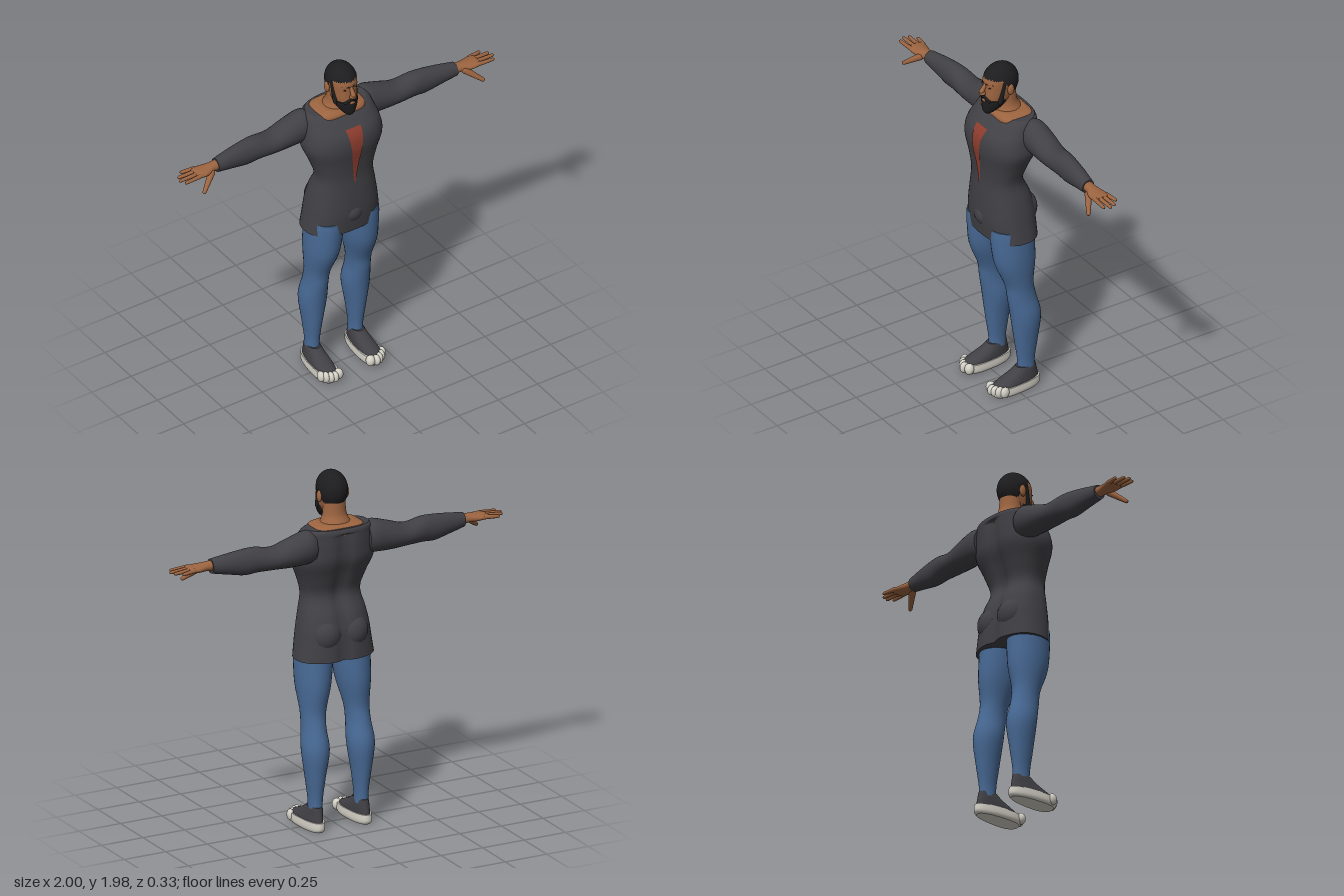
import * as THREE from 'three';

const mat = (name, color) => Object.assign(new THREE.MeshStandardMaterial({ color }), { name });

// Smoothly subdivide rows of numbers (Catmull-Rom per column)
function refine(rows, n) {
  const out = [], last = rows.length - 1;
  for (let i = 0; i < last; i++) for (let k = 0; k < n; k++) {
    const t = k / n, at = (j) => rows[Math.min(last, Math.max(0, j))];
    out.push(rows[i].map((_, c) => {
      const a = at(i - 1)[c], b = at(i)[c], d = at(i + 1)[c], e = at(i + 2)[c];
      return 0.5 * (2 * b + (d - a) * t + (2 * a - 5 * b + 4 * d - e) * t * t + (3 * b - a - 3 * d + e) * t ** 3);
    }));
  }
  out.push(rows[last]);
  return out;
}

// Closed skin through rounded sections [height, cx, cz, rx, rz], with flat caps
function loft(sections, { power = 2, n = 4, seg = 32, rule } = {}) {
  const rows = refine(sections, n), pos = [], idx = [];
  const ring = ([y, cx, cz, rx, rz]) => {
    for (let j = 0; j < seg; j++) {
      const a = (j / seg) * Math.PI * 2, c = Math.cos(a), s = Math.sin(a);
      const p = [cx + rx * Math.sign(c) * Math.abs(c) ** (2 / power), y,
        cz + rz * Math.sign(s) * Math.abs(s) ** (2 / power)];
      pos.push(...(rule ? rule(...p) : p));
    }
  };
  rows.forEach(ring);
  for (let i = 0; i < rows.length - 1; i++) for (let j = 0; j < seg; j++) {
    const k = (j + 1) % seg, a = i * seg + j, b = i * seg + k;
    idx.push(a, a + seg, b, b, a + seg, b + seg);
  }
  [rows[0], rows[rows.length - 1]].forEach((r, top) => {
    const base = pos.length / 3;
    ring(r);
    pos.push(r[1], r[0], r[2]);
    for (let j = 0; j < seg; j++) {
      const k = (j + 1) % seg;
      idx.push(base + seg, base + (top ? k : j), base + (top ? j : k));
    }
  });
  const g = new THREE.BufferGeometry();
  g.setAttribute('position', new THREE.Float32BufferAttribute(pos, 3));
  g.setIndex(idx);
  g.computeVertexNormals();
  return g;
}

// Turn a loft so that it runs along x: sections are then [x, cz, cy, rz, ry]
const alongX = (g) => g.applyMatrix4(new THREE.Matrix4().set(0, 1, 0, 0, 0, 0, 1, 0, 1, 0, 0, 0, 0, 0, 0, 1));

const ball = (x, y, z, rx, ry, rz) => new THREE.SphereGeometry(1, 20, 14).scale(rx, ry, rz).translate(x, y, z);

// Tapered rod with rounded ends between two points
function rod(from, to, r1, r2) {
  const a = new THREE.Vector3(...from), d = new THREE.Vector3(...to).sub(a), len = d.length();
  const pts = [[0, -r1], [r1 * 0.7, -r1 * 0.7], [r1, 0], [r2, len - r2], [r2 * 0.7, len - r2 * 0.3], [0, len]];
  const g = new THREE.LatheGeometry(pts.map((p) => new THREE.Vector2(...p)), 12);
  g.applyQuaternion(new THREE.Quaternion().setFromUnitVectors(new THREE.Vector3(0, 1, 0), d.normalize()));
  return g.translate(...from);
}

function mirrored(g) {
  const m = g.clone().scale(-1, 1, 1), ix = m.index.array;
  for (let i = 0; i < ix.length; i += 3) [ix[i], ix[i + 1]] = [ix[i + 1], ix[i]];
  return m;
}

const TORSO = [
  [0.95, 0, -0.015, 0.225, 0.145], [1.05, 0, -0.008, 0.21, 0.148], [1.12, 0, -0.005, 0.2, 0.145],
  [1.2, 0, 0.004, 0.185, 0.132], [1.3, 0, 0.022, 0.167, 0.108], [1.4, 0, 0.013, 0.195, 0.125],
  [1.5, 0, 0, 0.232, 0.152], [1.58, 0, -0.01, 0.224, 0.15], [1.64, 0, -0.033, 0.208, 0.127],
  [1.675, 0, -0.05, 0.198, 0.108], [1.69, 0, -0.055, 0.18, 0.095],
];

export function createModel() {
  const model = new THREE.Group();
  const shirt = mat('charcoal cloth', 0x414045), skin = mat('skin', 0x9c6440), denim = mat('blue denim', 0x486a96);
  const hair = mat('black hair', 0x1d1d1f), white = mat('white rubber', 0xd2cfc5), red = mat('red cloth', 0x8e3d2e);
  const eye = mat('dark eye', 0x3a2218);
  const add = (name, g, m) => {
    const mesh = new THREE.Mesh(g, m);
    mesh.name = name;
    model.add(mesh);
  };
  const pair = (name, g, m) => {
    add('left ' + name, g, m);
    add('right ' + name, mirrored(g), m);
  };

  // Tunic, with a groove down the spine
  add('tunic', loft(TORSO, {
    power: 2.4, n: 5, seg: 48,
    rule: (x, y, z) => [x, y, z < -0.03 && y < 1.66 ? z + 0.022 * Math.exp(-((x / 0.035) ** 2)) : z],
  }), shirt);
  pair('seat', ball(0.08, 1.09, -0.085, 0.085, 0.095, 0.078), shirt);
  add('front fold', ball(0, 1.06, 0.11, 0.06, 0.055, 0.042), shirt);

  // Red wedge lying on the chest
  const rows = refine(TORSO, 5);
  const frontZ = (x, y) => {
    const i = Math.max(1, rows.findIndex((r) => r[0] >= y)), a = rows[i - 1], b = rows[i];
    const [, , cz, rx, rz] = a.map((v, c) => v + ((b[c] - v) * (y - a[0])) / (b[0] - a[0]));
    return cz + rz * (1 - Math.abs(x / rx) ** 2.4) ** (1 / 2.4);
  };
  const wedge = new THREE.PlaneGeometry(2, 1, 8, 28), wp = wedge.attributes.position;
  for (let i = 0; i < wp.count; i++) {
    const t = wp.getY(i) + 0.5, y = 1.27 + 0.35 * t, x = wp.getX(i) * (0.003 + 0.045 * t);
    wp.setXYZ(i, x, y, frontZ(x, y) + 0.005);
  }
  wedge.computeVertexNormals();
  red.side = THREE.DoubleSide;
  add('chest wedge', wedge, red);

  // Neck with the bare top of the shoulders
  add('shoulder skin', loft([[1.65, 0, -0.04, 0.143, 0.1], [1.68, 0, -0.04, 0.142, 0.1],
    [1.695, 0, -0.042, 0.135, 0.09], [1.705, 0, -0.04, 0.1, 0.075]], { power: 4 }), skin);
  add('neck', loft([[1.68, 0, -0.035, 0.1, 0.085], [1.71, 0, -0.035, 0.078, 0.074],
    [1.75, 0, -0.03, 0.064, 0.06], [1.83, 0, -0.025, 0.06, 0.06]]), skin);

  // Sleeves and hands
  pair('sleeve', alongX(loft([
    [0.16, -0.08, 1.6, 0.066, 0.08], [0.205, -0.08, 1.6, 0.078, 0.092], [0.3, -0.08, 1.585, 0.077, 0.079],
    [0.4, -0.077, 1.572, 0.071, 0.062], [0.5, -0.073, 1.58, 0.061, 0.07], [0.57, -0.07, 1.577, 0.055, 0.072],
    [0.66, -0.064, 1.58, 0.047, 0.058], [0.76, -0.055, 1.582, 0.037, 0.04]])), shirt);
  pair('palm', alongX(loft([
    [0.74, -0.055, 1.585, 0.03, 0.03], [0.79, -0.052, 1.585, 0.032, 0.025], [0.84, -0.05, 1.583, 0.046, 0.022],
    [0.885, -0.052, 1.585, 0.05, 0.016], [0.9, -0.052, 1.585, 0.042, 0.009]])), skin);
  [[-0.09, 0.955, -0.105], [-0.066, 0.99, -0.073], [-0.04, 1, -0.043], [-0.014, 0.983, -0.01]].forEach(([z, tx, tz], i) =>
    pair('finger ' + (i + 1), rod([0.875, 1.586, z], [tx, 1.582, tz], 0.0125, 0.009), skin));
  pair('thumb', rod([0.805, 1.573, -0.025], [0.893, 1.502, 0.032], 0.02, 0.011), skin);

  // Trouser legs
  pair('trouser leg', loft([
    [0.11, 0.138, -0.07, 0.037, 0.05], [0.18, 0.138, -0.07, 0.038, 0.052], [0.3, 0.138, -0.07, 0.053, 0.069],
    [0.45, 0.136, -0.068, 0.074, 0.086], [0.57, 0.134, -0.044, 0.064, 0.082], [0.66, 0.13, -0.03, 0.068, 0.082],
    [0.8, 0.12, -0.01, 0.091, 0.118], [0.95, 0.112, 0, 0.101, 0.125], [1.02, 0.11, 0, 0.1, 0.125]]), denim);

  // Shoes, narrower at the heel, with toe bumps
  const narrow = (x, y, z) => [0.14 + (x - 0.14) * (0.87 + 1.1 * Math.min(0.12, z)), y, z];
  pair('shoe upper', loft([
    [0.03, 0.142, 0.005, 0.06, 0.147], [0.06, 0.142, -0.003, 0.059, 0.137], [0.085, 0.14, -0.027, 0.055, 0.108],
    [0.11, 0.139, -0.052, 0.05, 0.078], [0.135, 0.138, -0.067, 0.044, 0.058]], { power: 2.2, rule: narrow }), shirt);
  pair('sole', loft([[0, 0.142, 0, 0.058, 0.138], [0.018, 0.142, 0, 0.067, 0.152], [0.055, 0.142, 0, 0.065, 0.15]],
    { power: 2.5, rule: narrow }), white);
  for (let i = 0; i < 5; i++) {
    const r = i ? 0.0185 : 0.026;
    pair('toe ' + (i + 1), ball([0.102, 0.132, 0.154, 0.175, 0.194][i], 0.038, [0.13, 0.142, 0.134, 0.12, 0.1][i], r, 0.032, 0.026), white);
  }

  // Head and face
  add('head', loft([
    [1.72, 0, 0.055, 0.035, 0.035], [1.75, 0, 0.035, 0.054, 0.06], [1.79, 0, 0.02, 0.066, 0.083],
    [1.84, 0, 0.008, 0.074, 0.093], [1.9, 0, 0.004, 0.075, 0.094], [1.94, 0, 0, 0.058, 0.072],
    [1.96, 0, 0, 0.03, 0.04]], { power: 2.1 }), skin);
  pair('ear', ball(0.082, 1.845, -0.012, 0.012, 0.033, 0.02), skin);
  add('nose bridge', rod([0, 1.875, 0.093], [0, 1.825, 0.128], 0.009, 0.014), skin);
  add('nose tip', ball(0, 1.825, 0.116, 0.02, 0.012, 0.018), skin);
  pair('eye', ball(0.031, 1.862, 0.089, 0.013, 0.005, 0.006), eye);
  pair('eyebrow', rod([0.014, 1.878, 0.098], [0.05, 1.882, 0.077], 0.005, 0.003), hair);

  // Hair cap: high over the forehead, low at the nape
  const cap = new THREE.SphereGeometry(1, 48, 20), cp = cap.attributes.position, uv = cap.attributes.uv;
  for (let i = 0; i < cp.count; i++) {
    const phi = uv.getX(i) * Math.PI * 2, back = THREE.MathUtils.smoothstep(-Math.cos(phi), -0.4, 0.5);
    const th = (1 - uv.getY(i)) * (1.24 + 1.05 * back);
    cp.setXYZ(i, 0.083 * Math.sin(th) * Math.sin(phi), 1.87 + 0.105 * Math.cos(th), 0.102 * Math.sin(th) * Math.cos(phi));
  }
  cap.computeVertexNormals();
  hair.side = THREE.DoubleSide;
  add('hair', cap, hair);

  // Beard
  add('beard', loft([
    [1.692, 0, 0.082, 0.014, 0.014], [1.71, 0, 0.072, 0.035, 0.036], [1.74, 0, 0.052, 0.056, 0.058],
    [1.768, 0, 0.04, 0.067, 0.07], [1.782, 0, 0.035, 0.068, 0.073]]), hair);
  pair('moustache', rod([0, 1.803, 0.107], [0.042, 1.775, 0.09], 0.009, 0.008), hair);
  pair('sideburn', rod([0.071, 1.89, 0.02], [0.058, 1.755, 0.045], 0.011, 0.016), hair);
  add('lips', ball(0, 1.777, 0.106, 0.018, 0.006, 0.008), skin);

  return model;
}
